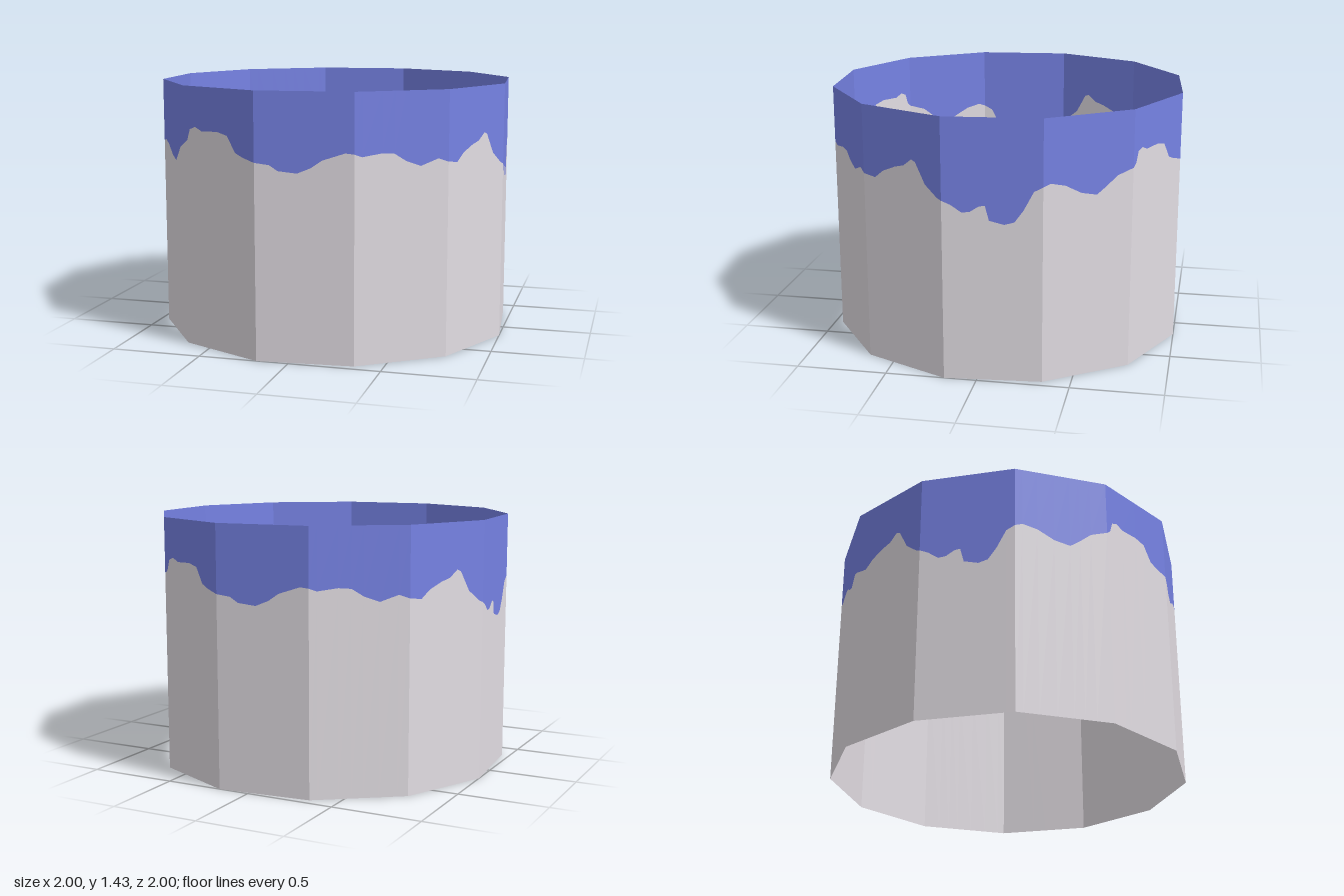
import * as THREE from 'three';

const mat = (name, hex, side = THREE.FrontSide) => {
  const m = new THREE.MeshStandardMaterial({ color: hex, side });
  m.name = name;
  return m;
};
const D = THREE.DoubleSide;

const HEIGHT = 1.433, RADIUS = 1.0154, SIDES = 12;

// Ridge line as [facet position, height]; it repeats every six facets
const RIDGE = [
  [-2, 1.12], [-1.95, 1.14], [-1.91, 1.2], [-1.83, 1.215], [-1.74, 1.195], [-1.51, 1.2], [-1.37, 1.185],
  [-1.26, 1.1], [-1.16, 1.08], [-1, 1.06], [-0.85, 1.05], [-0.76, 1.02], [-0.57, 1.01], [-0.43, 1.04],
  [-0.32, 1.08], [-0.09, 1.12], [0, 1.115], [0.08, 1.1], [0.29, 1.115], [0.42, 1.11], [0.54, 1.07],
  [0.7, 1.04], [0.89, 1.075], [1, 1.055], [1.15, 1.045], [1.26, 1.09], [1.42, 1.125], [1.53, 1.14],
  [1.63, 1.18], [1.68, 1.17], [1.8, 1.06], [1.95, 1.0], [2, 0.99], [2.09, 0.97], [2.2, 0.93], [2.28, 0.935],
  [2.37, 0.965], [2.43, 0.97], [2.47, 0.89], [2.62, 0.87], [2.72, 0.885], [2.81, 0.95], [2.91, 1.05],
  [3, 1.075], [3.08, 1.09], [3.24, 1.07], [3.42, 1.02], [3.59, 1.0], [3.7, 1.04], [3.82, 1.09],
];

// Point on the twelve-sided wall, straight along each facet
function wallPoint(t, y) {
  const k = Math.floor(t), f = t - k;
  const corner = (i) => {
    const a = THREE.MathUtils.degToRad(20 + (360 / SIDES) * i);
    return new THREE.Vector3(RADIUS * Math.sin(a), y, RADIUS * Math.cos(a));
  };
  return corner(k).lerp(corner(k + 1), f);
}

// Triangles between two closed rows of points
function band(lower, upper) {
  const pos = [];
  for (let i = 0; i < lower.length; i++) {
    const j = (i + 1) % lower.length;
    for (const p of [lower[i], lower[j], upper[j], lower[i], upper[j], upper[i]]) pos.push(p.x, p.y, p.z);
  }
  const g = new THREE.BufferGeometry();
  g.setAttribute('position', new THREE.Float32BufferAttribute(pos, 3));
  g.computeVertexNormals();
  return g;
}

// Smooth closed outline through [x, z] points, listed so that bands face outward
function outline(points, y, n = 48) {
  const curve = new THREE.CatmullRomCurve3(points.map(([x, z]) => new THREE.Vector3(x, y, z)), true);
  return curve.getPoints(n).slice(0, n);
}

// Flat plate with an outline in x and z, standing on y
function plate(points, y, thick) {
  const shape = new THREE.Shape(outline(points, 0).map((p) => new THREE.Vector2(p.x, -p.z)));
  const g = new THREE.ExtrudeGeometry(shape, { depth: thick, bevelEnabled: false });
  return g.rotateX(-Math.PI / 2).translate(0, y, 0);
}

export function createModel() {
  const model = new THREE.Group();
  const sky = mat('sky blue', 0x7682e4, D);
  const haze = mat('pale haze', 0xe2dde3, D);
  const black = mat('night black', 0x0b0b0b, D);
  const stone = mat('moon stone', 0x8a7d6b);
  const olive = mat('olive grass', 0x75803c, D);
  const brown = mat('dark rock', 0x4a4238, D);
  const white = mat('white path', 0xffffff);
  const green = mat('lawn green', 0x53a844);
  const leaf = mat('tree green', 0x3c6a38);

  const add = (name, geometry, material, parent = model) => {
    const mesh = new THREE.Mesh(geometry, material);
    mesh.name = name;
    parent.add(mesh);
    return mesh;
  };

  // Surrounding backdrop: hazy mountains below, sky above
  const ridge = [...RIDGE, ...RIDGE.map(([t, y]) => [t + 6, y])];
  const row = (fn) => ridge.map(([t, y]) => wallPoint(t, fn(y)));
  add('mountainBackdrop', band(row(() => 0), row((y) => y)), haze);
  add('skyBackdrop', band(row((y) => y), row(() => HEIGHT)), sky);

  // Island ground: olive skirt around a rocky rim
  const island = new THREE.Group();
  island.name = 'island';
  model.add(island);
  const shore = [[-0.09, -0.46], [-0.19, -0.42], [-0.27, -0.34], [-0.28, -0.25], [-0.235, -0.14], [-0.18, -0.01],
    [-0.1, 0.1], [-0.01, 0.13], [0.07, 0.1], [0.12, 0.04], [0.15, -0.06], [0.165, -0.19], [0.14, -0.32],
    [0.085, -0.42], [0.005, -0.465]];
  const rim = [[-0.02, -0.395], [-0.12, -0.36], [-0.19, -0.29], [-0.225, -0.22], [-0.19, -0.15], [-0.13, -0.05],
    [-0.075, 0.03], [-0.005, 0.075], [0.06, 0.04], [0.085, -0.05], [0.1, -0.13], [0.115, -0.2], [0.095, -0.29],
    [0.05, -0.37]];
  const inset = (pts, s, c = [-0.05, -0.17]) => pts.map(([x, z]) => [c[0] + (x - c[0]) * s, c[1] + (z - c[1]) * s]);
  add('grassSkirt', band(outline(shore, 0.63), outline(rim, 0.65)), olive, island);
  add('rockRim', band(outline(rim, 0.65), outline(inset(rim, 0.91), 0.665)), brown, island);
  add('plateau', plate(inset(rim, 0.92), 0.53, 0.13), white, island);

  // Rock ridges scattered along the skirt
  outline(inset(rim, 1.12), 0.65, 14).forEach((p, i, all) => {
    const next = all[(i + 1) % all.length];
    const rock = add('rockRidge', new THREE.BoxGeometry(0.05, 0.012, 0.008), brown, island);
    rock.position.copy(p).setY(0.645);
    rock.rotation.y = Math.atan2(-(next.z - p.z), next.x - p.x) + (i % 2 ? 0.25 : -0.2);
  });

  // Lawns and the earth patch
  add('roundLawn', plate([[-0.03, -0.36], [-0.08, -0.3], [-0.13, -0.275], [-0.1, -0.25], [-0.06, -0.26], [-0.05, -0.21],
    [0.0, -0.2], [0.05, -0.23], [0.07, -0.28], [0.05, -0.34]], 0.66, 0.008), green, island);
  add('longLawn', plate([[-0.17, -0.255], [-0.195, -0.22], [-0.18, -0.17], [-0.13, -0.08], [-0.08, -0.035],
    [-0.04, -0.045], [-0.035, -0.08], [-0.09, -0.18], [-0.13, -0.24]], 0.66, 0.008), green, island);
  add('earthPatch', plate([[-0.04, -0.18], [-0.05, -0.14], [-0.01, -0.13], [0, -0.07], [0.03, -0.06], [0.045, -0.12],
    [0.06, -0.17], [0.01, -0.185]], 0.66, 0.009), brown, island);

  // Trees and bushes
  const bushes = [[0, 0, 0.042], [0.01, -0.09, 0.02], [0.025, -0.13, 0.018], [-0.05, -0.005, 0.012], [0.07, -0.2, 0.016],
    [0.08, -0.24, 0.014], [-0.09, -0.32, 0.016], [-0.14, -0.29, 0.014], [0.03, -0.04, 0.014], [0.05, -0.09, 0.014],
    [-0.05, -0.2, 0.013], [-0.03, -0.11, 0.012], [0.05, -0.35, 0.012]];
  for (const [x, z, r] of bushes) {
    const bush = add('bush', new THREE.IcosahedronGeometry(r, 1), leaf, island);
    bush.position.set(x, 0.663, z);
    bush.scale.y = 0.8;
  }

  // Tilted night sheet with a moon disc
  const night = new THREE.Group();
  night.name = 'nightSheet';
  night.position.set(0.2, 0.91, -0.018);
  night.rotation.set(0, 0.075, -0.62, 'YXZ');
  model.add(night);
  add('nightPanel', new THREE.PlaneGeometry(0.345, 0.345).rotateX(-Math.PI / 2), black, night);
  add('moonDisc', new THREE.CircleGeometry(0.05, 20).rotateX(-Math.PI / 2).translate(0, 0.003, 0), stone, night);

  return model;
}
